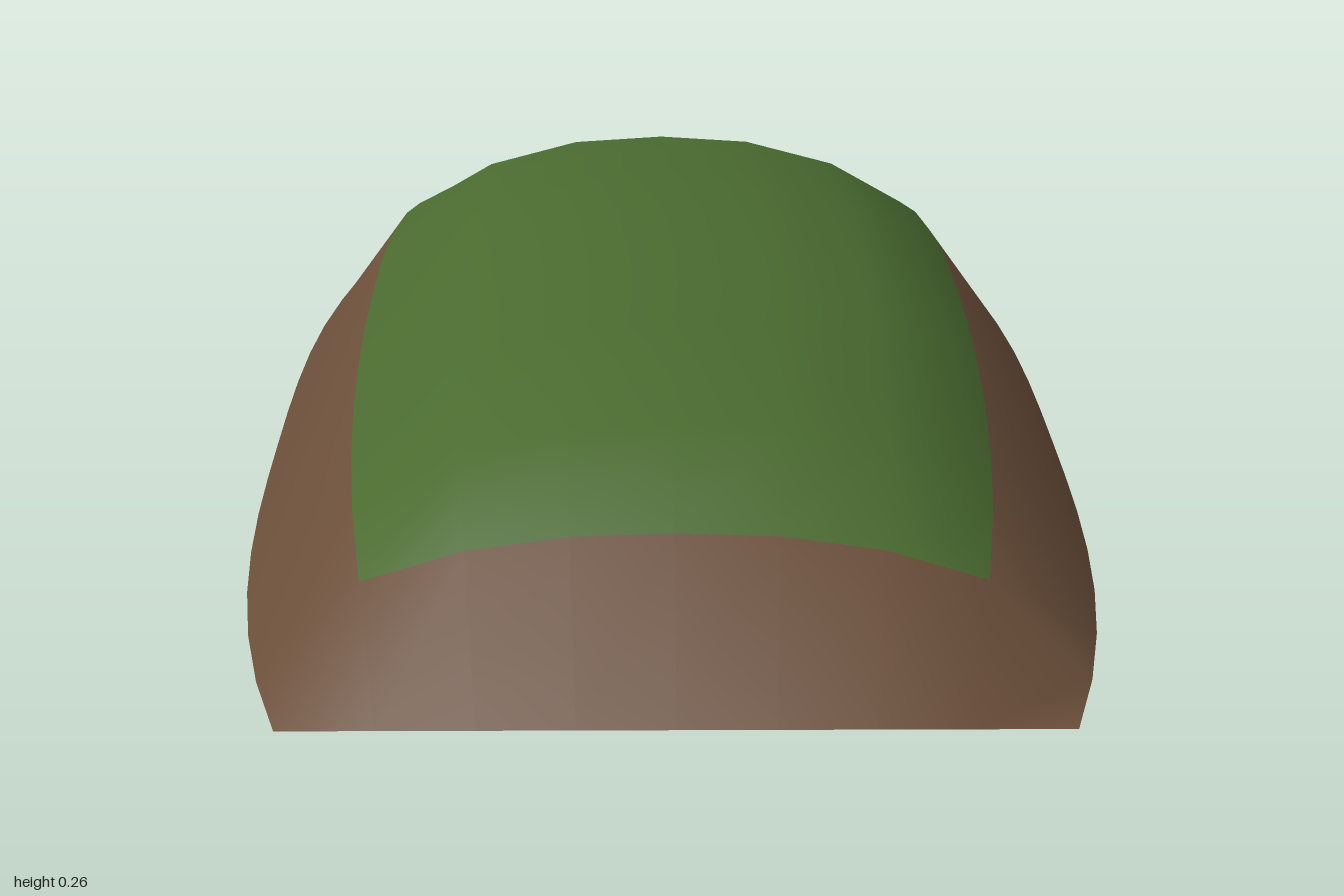
import * as THREE from 'three';

const soil = new THREE.MeshStandardMaterial({ color: 0x6b4f3a, side: THREE.DoubleSide });
soil.name = 'brown soil';
const grass = new THREE.MeshStandardMaterial({ color: 0x4a6b30, side: THREE.DoubleSide });
grass.name = 'green grass';

// Heights along the length, from the back (z = -1) to the front (z = 1)
const ridge = [0, 0.145, 0.205, 0.236, 0.246, 0.255, 0.265, 0.261, 0.257, 0.246, 0.24, 0.237, 0.205, 0.14, 0];
const shoulder = [0, 0.097, 0.125, 0.142, 0.152, 0.164, 0.168, 0.168, 0.168, 0.16, 0.148, 0.135, 0.12, 0.095, 0];
// Fall from ridge to shoulder across the width
const fall = [0, 0.07, 0.36, 1];
const NX = 8, NZ = 14;

function moundGeometry() {
  const positions = [], index = [];
  for (let j = 0; j <= NZ; j++) {
    const z = -1 + (2 * j) / NZ;
    const halfWidth = 0.428 - 0.072 * Math.abs(z) ** 3;
    for (let i = 0; i <= NX; i++) {
      const k = Math.abs(i - NX / 2);
      const y = k === NX / 2 ? 0 : ridge[j] + (shoulder[j] - ridge[j]) * fall[k];
      positions.push((i / (NX / 2) - 1) * halfWidth, y, z);
    }
  }
  // The outer ring of cells is bare soil, the rest is grass
  const geometry = new THREE.BufferGeometry();
  for (const rim of [true, false]) {
    const start = index.length;
    for (let j = 0; j < NZ; j++) {
      for (let i = 0; i < NX; i++) {
        const onRim = i === 0 || j === 0 || i === NX - 1 || j === NZ - 1;
        if (onRim !== rim) continue;
        const a = j * (NX + 1) + i, b = a + 1, c = a + NX + 1, d = c + 1;
        index.push(a, c, b, b, c, d);
      }
    }
    geometry.addGroup(start, index.length - start, rim ? 0 : 1);
  }
  geometry.setAttribute('position', new THREE.Float32BufferAttribute(positions, 3));
  geometry.setIndex(index);
  geometry.computeVertexNormals();
  return geometry;
}

export function createModel() {
  const model = new THREE.Group();
  model.name = 'grassyMound';
  // Open-bottomed shell with shared smooth normals over both materials
  const mound = new THREE.Mesh(moundGeometry(), [soil, grass]);
  mound.name = 'mound';
  model.add(mound);
  return model;
}
